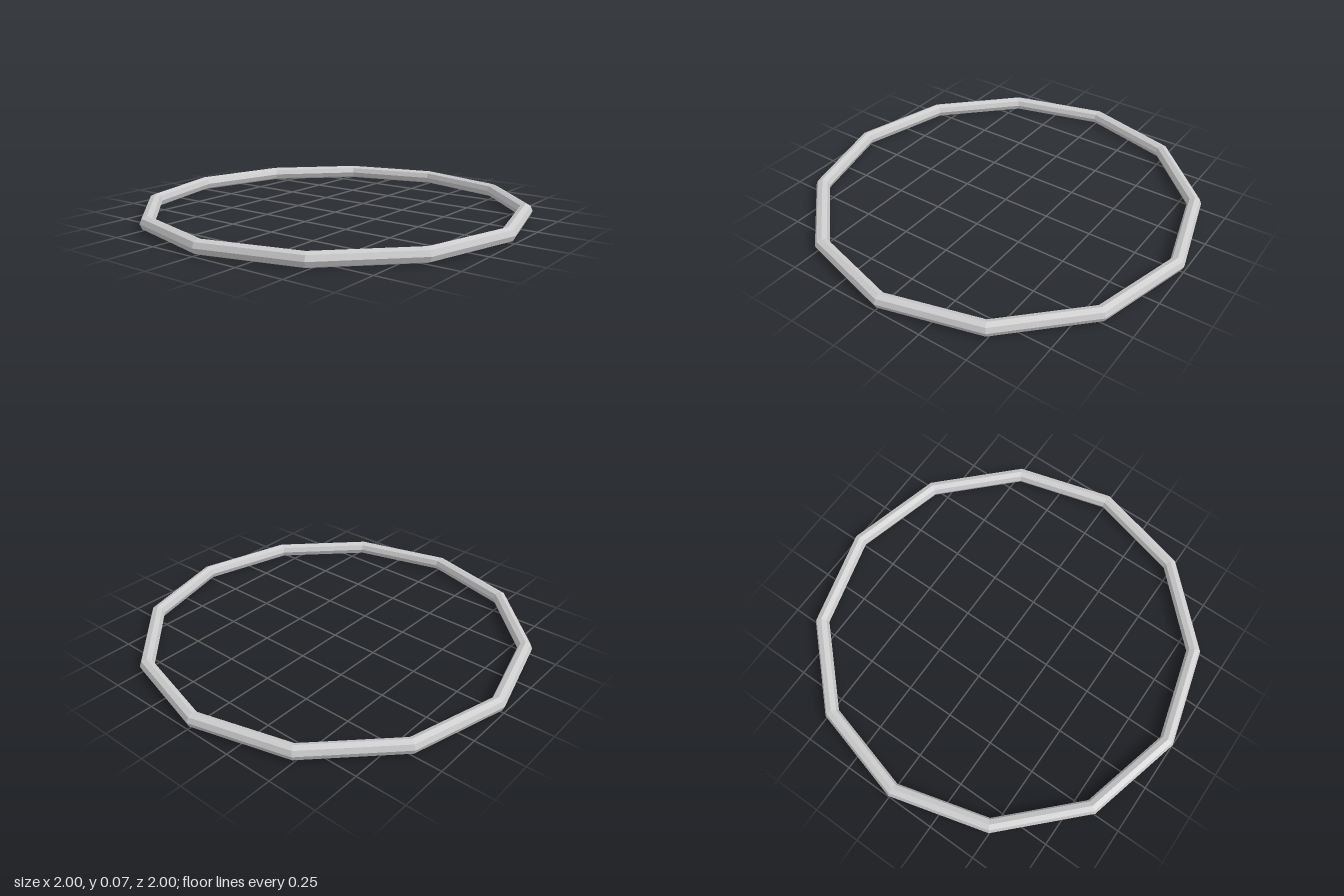
import * as THREE from 'three';

export function createModel() {
  const group = new THREE.Group();
  group.name = 'ringModel';

  // Twelve-sided ring with an eight-sided tube, lying flat on the ground
  const tube = 0.036;
  const geometry = new THREE.TorusGeometry(1 - tube, tube, 8, 12);
  geometry.rotateX(-Math.PI / 2);
  geometry.translate(0, tube, 0);

  const ring = new THREE.Mesh(
    geometry,
    new THREE.MeshStandardMaterial({ color: 0xcccccc, flatShading: true })
  );
  ring.name = 'ring';
  group.add(ring);
  return group;
}
